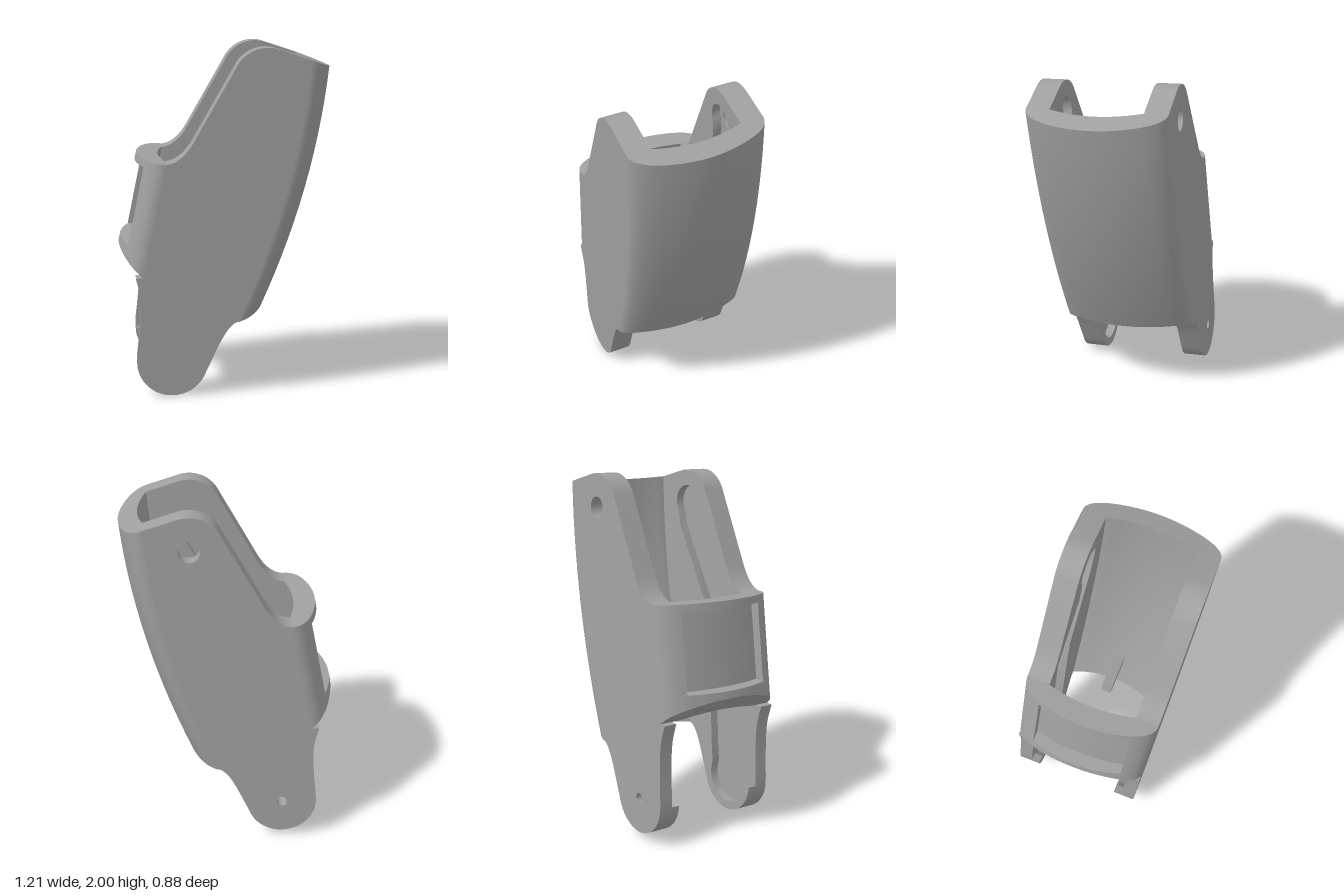
import * as THREE from 'three';
import { toCreasedNormals } from 'three/addons/utils/BufferGeometryUtils.js';

const HALF = 0.385, INNER = 0.255, STEP = 0.305; // half width, inner face, pocket floor
const ROWS = 14;

// Edge lines of the tube at height y
const rightEdge = (y) => {
  const t = (y - 0.49) / 1.37;
  return 0.235 + 0.365 * t + 0.232 * t * (1 - t);
};
const leftEdge = (y) => -0.6 + (y - 0.87) * 0.204;

const V = (x, y) => new THREE.Vector2(x, y);

function arc(cx, cy, r, a0, a1, n = 16) {
  const pts = [];
  for (let i = 0; i <= n; i++) {
    const a = THREE.MathUtils.degToRad(a0 + ((a1 - a0) * i) / n);
    pts.push(V(cx + r * Math.cos(a), cy + r * Math.sin(a)));
  }
  return pts;
}

// Side plate edge: from the leg's outer edge round the bottom, up the right, over the top and down
function plateOutline() {
  const pts = arc(-0.31, 0.222, 0.2, 180, 335, 22);
  pts.push(...new THREE.CubicBezierCurve(V(-0.13, 0.138), V(-0.06, 0.28), V(0.0, 0.46), V(0.075, 0.45)).getPoints(14).slice(1));
  for (let i = 0; i <= ROWS; i++) {
    const y = 0.45 + ((1.911 - 0.45) * i) / ROWS;
    pts.push(V(rightEdge(y) - 0.15, y));
  }
  pts.push(...arc(0.21, 1.79, 0.19, 72, 150));
  pts.push(...new THREE.QuadraticBezierCurve(V(-0.175, 1.497), V(-0.25, 1.355), V(-0.342, 1.349)).getPoints(10));
  pts.push(V(leftEdge(0.712) + 0.16, 0.712));
  return pts;
}

function extrude(shape, z, depth) {
  const g = new THREE.ExtrudeGeometry(shape, { depth, bevelEnabled: false, curveSegments: 20 });
  g.translate(0, 0, z);
  return toCreasedNormals(g, 0.5);
}

// Outer skin of a plate, optionally with the two pin holes
function outerPlate(z, holes) {
  const legEdge = new THREE.CatmullRomCurve3([
    new THREE.Vector3(-0.512, 0.712, 0), new THREE.Vector3(-0.487, 0.6, 0),
    new THREE.Vector3(-0.488, 0.46, 0), new THREE.Vector3(-0.508, 0.26, 0),
  ]).getPoints(12).map((p) => V(p.x, p.y));
  const shape = new THREE.Shape([...plateOutline(), ...legEdge]);
  if (holes) {
    for (const [x, y, r] of [[0.21, 1.79, 0.06], [-0.31, 0.222, 0.03]]) {
      shape.holes.push(new THREE.Path(arc(x, y, r, 360, 15, 23)));
    }
  }
  return extrude(shape, z, HALF - STEP);
}

// Inner layer of a plate: a rim round the keyhole pocket, which opens at the leg's edge
function pocketRim(z) {
  const shape = new THREE.Shape([
    ...plateOutline(),
    V(-0.4, 0.8), V(-0.3, 1.25), V(0.09, 1.58), V(0.12, 1.68),
    ...arc(0.21, 1.79, 0.1, 205, -35, 18),
    V(0.26, 1.64), V(-0.03, 1.2), V(-0.13, 0.55), V(-0.15, 0.38),
    ...arc(-0.31, 0.222, 0.15, 20, -172, 16),
  ]);
  return extrude(shape, z, STEP - INNER);
}

// Plan section of an end wall as (depth from the edge, z)
function wallSection(mid, clip, recessed) {
  const corner = new THREE.QuadraticBezierCurve(V(clip, HALF), V(0.075, HALF), V(0.03, 0.22)).getPoints(10);
  let half = [...corner];
  if (recessed) {
    half = half.filter((p) => p.y > 0.285);
    half.push(V(0.047, 0.27));
    for (let i = 0; i < 6; i++) {
      const t = 1 - i / 6;
      half.push(V(0.075 + 0.03 * t * t, 0.27 * t));
    }
  } else {
    for (let i = 1; i < 6; i++) {
      const t = 1 - i / 6;
      half.push(V(0.03 * t * t, 0.22 * t));
    }
  }
  const pts = [...half, V(recessed ? 0.075 : 0, 0), ...half.map((p) => V(p.x, -p.y)).reverse()];
  for (let i = 0; i <= 12; i++) {
    const t = -1 + i / 6;
    pts.push(V(mid + (clip - mid) * t * t, INNER * t));
  }
  return pts;
}

// Sweep a wall section upward along an edge line between two sloped ends
function wall(section, edge, side, bottom, top, rows) {
  let pts = section;
  const flat = (list) => list.map((p) => V(-side * p.x, -p.y));
  if (THREE.ShapeUtils.isClockWise(flat(pts))) pts = [...pts].reverse();
  const n = pts.length, pos = [], idx = [];
  const addRow = (t) => {
    for (const p of pts) {
      const y = THREE.MathUtils.lerp(bottom(p.x), top(p.x), t);
      pos.push(edge(y) - side * p.x, y, p.y);
    }
  };
  for (let j = 0; j <= rows; j++) addRow(j / rows);
  for (let j = 0; j < rows; j++) {
    for (let i = 0; i < n; i++) {
      const a = j * n + i, b = j * n + ((i + 1) % n);
      idx.push(a, b, b + n, a, b + n, a + n);
    }
  }
  for (const [a, b, c] of THREE.ShapeUtils.triangulateShape(flat(pts), [])) {
    idx.push(a, c, b, a + rows * n, b + rows * n, c + rows * n);
  }
  const g = new THREE.BufferGeometry();
  g.setAttribute('position', new THREE.Float32BufferAttribute(pos, 3));
  g.setIndex(idx);
  return toCreasedNormals(g, 0.5);
}

export function createModel() {
  const grey = new THREE.MeshStandardMaterial({ color: 0xa0a0a0 });
  grey.name = 'plain grey';
  const body = new THREE.Group();
  body.name = 'tiltedBody';
  const add = (name, geometry) => {
    const m = new THREE.Mesh(geometry, grey);
    m.name = name;
    body.add(m);
    return m;
  };

  // Side plates with their legs
  add('frontPlate', outerPlate(STEP, false));
  add('frontPocketRim', pocketRim(INNER));
  add('backPlate', outerPlate(-HALF, true));
  add('backPocketRim', pocketRim(-STEP));

  // Tall bowed wall joining the plates
  add('tallWall', wall(wallSection(0.11, 0.15, false), rightEdge, 1,
    (d) => 0.49 - 0.4 * Math.max(0, d - 0.05), (d) => 1.86 + 0.34 * d, ROWS));

  // Short wall: two lips with a recessed panel between
  const plain = wallSection(0.125, 0.16, false);
  const low = () => 0.88, high = () => 1.32;
  add('lowerLip', wall(plain, leftEdge, -1, (d) => 0.84 - 0.8 * d, low, 1));
  add('recessedPanel', wall(wallSection(0.125, 0.16, true), leftEdge, -1, low, high, 4));
  add('upperLip', wall(plain, leftEdge, -1, high, (d) => 1.365 - 0.1 * d, 1));

  // Small tab inside the tall wall
  const tab = add('innerTab', new THREE.BoxGeometry(0.26, 0.08, 0.06));
  tab.position.set(0.09, 0.67, 0);
  tab.rotation.z = -0.25;

  // Lean the whole body towards the front
  const lean = 0.057;
  body.rotation.x = lean;
  body.position.set(0, 1 - Math.cos(lean), -Math.sin(lean));

  const model = new THREE.Group();
  model.name = 'hingedSleeve';
  model.add(body);
  return model;
}
